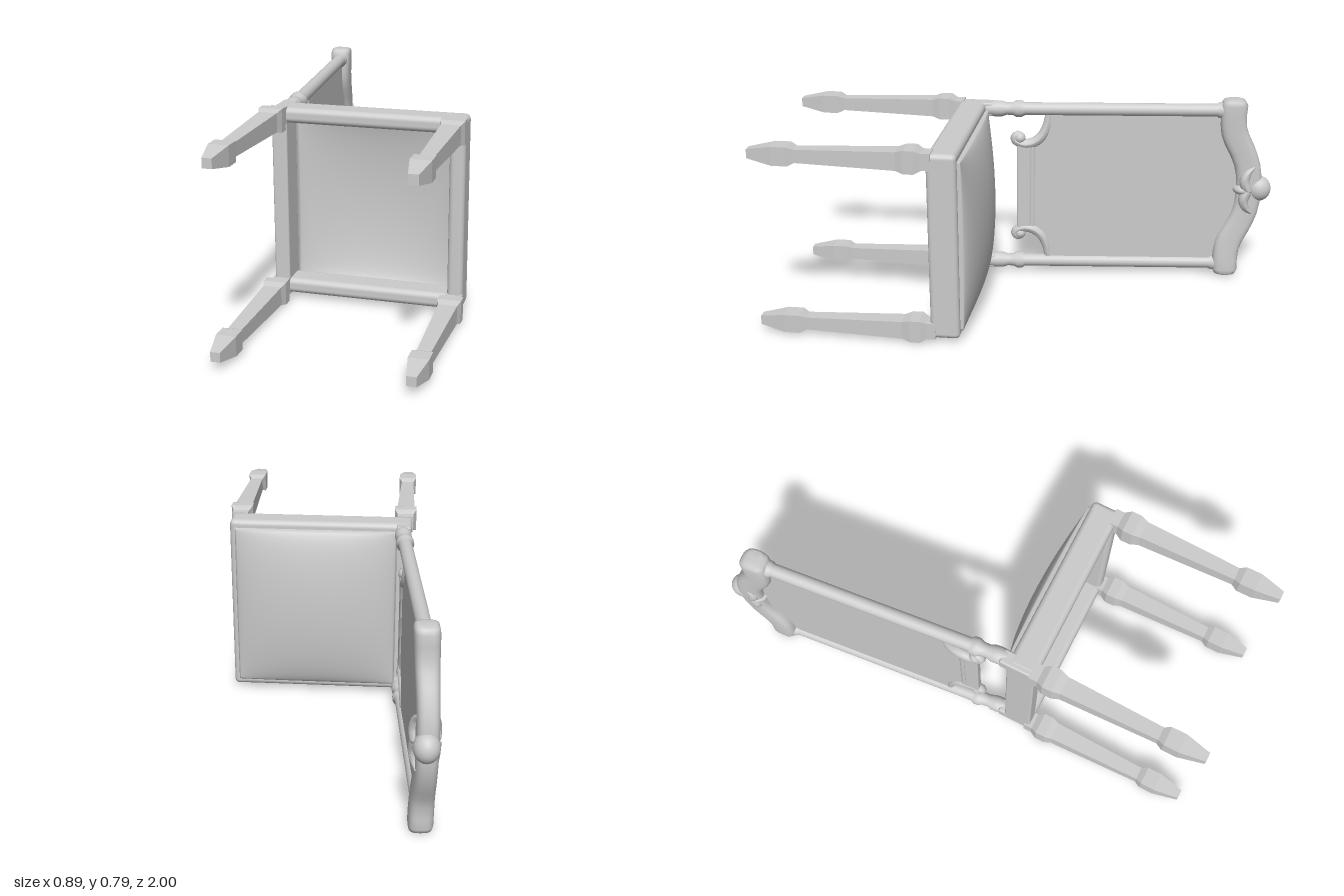
import * as THREE from 'three';
import { RoundedBoxGeometry } from 'three/addons/geometries/RoundedBoxGeometry.js';

const smooth = new THREE.MeshStandardMaterial({ color: 0xcccccc });
const faceted = new THREE.MeshStandardMaterial({ color: 0xcccccc, flatShading: true });
const thin = new THREE.MeshStandardMaterial({ color: 0xcccccc, side: THREE.DoubleSide });

function add(parent, name, geometry, material = smooth, x = 0, y = 0, z = 0) {
  const mesh = new THREE.Mesh(geometry, material);
  mesh.name = name;
  mesh.position.set(x, y, z);
  parent.add(mesh);
  return mesh;
}

const v2 = (pts) => pts.map(([r, y]) => new THREE.Vector2(r, y));

// Square turned leg: half-width against height
function legGeometry() {
  const profile = [[0, -1], [0.018, -1], [0.037, -0.9], [0.037, -0.84], [0.026, -0.815],
    [0.036, -0.43], [0.045, -0.4], [0.045, -0.36], [0.033, -0.335], [0.033, -0.3], [0, -0.3]];
  const pts = v2(profile.map(([r, y]) => [r * Math.SQRT2, y]));
  return new THREE.LatheGeometry(pts, 4, Math.PI / 4);
}

// Tube along a curve whose radius follows a rule
function taperedTube(points, radiusAt, segments = 36, sides = 12) {
  const curve = new THREE.CatmullRomCurve3(points.map((p) => new THREE.Vector3(...p)));
  const geo = new THREE.TubeGeometry(curve, segments, 1, sides);
  const pos = geo.attributes.position;
  const v = new THREE.Vector3();
  for (let i = 0; i < pos.count; i++) {
    const t = Math.floor(i / (sides + 1)) / segments;
    const c = curve.getPointAt(t);
    v.fromBufferAttribute(pos, i).sub(c).multiplyScalar(radiusAt(t)).add(c);
    pos.setXYZ(i, v.x, v.y, v.z);
  }
  geo.computeVertexNormals();
  return geo;
}

// Domed seat pad, open underneath, with a short skirt
function cushionGeometry() {
  const geo = new THREE.PlaneGeometry(2, 2, 28, 28);
  const pos = geo.attributes.position;
  for (let i = 0; i < pos.count; i++) {
    const a = pos.getX(i), b = pos.getY(i);
    const u = Math.sin(a * Math.PI / 2), v = Math.sin(b * Math.PI / 2);
    const edge = Math.max(Math.abs(a), Math.abs(b)) > 0.999;
    const dome = Math.pow(Math.max(0, (1 - u * u) * (1 - v * v)), 0.6);
    pos.setXYZ(i, u * 0.345, edge ? -0.215 : -0.195 + 0.062 * dome, 0.065 - v * 0.335);
  }
  geo.computeVertexNormals();
  return geo;
}

// Arched top rail swept across the width from rounded sections
function crestGeometry() {
  // half-width position, lower edge, upper edge, half-depth
  const half = [[0, 0.853, 0.962, 0.04], [0.06, 0.85, 0.96, 0.04], [0.11, 0.838, 0.952, 0.04],
    [0.16, 0.815, 0.935, 0.041], [0.2, 0.793, 0.917, 0.042], [0.24, 0.778, 0.897, 0.043],
    [0.28, 0.772, 0.883, 0.044], [0.33, 0.77, 0.88, 0.045], [0.37, 0.772, 0.882, 0.045],
    [0.388, 0.782, 0.872, 0.042], [0.394, 0.8, 0.855, 0.033], [0.394, 0.827, 0.828, 0.001]];
  const stations = [...half.slice(1).reverse().map(([x, ...r]) => [-x, ...r]), ...half];
  const n = 24, verts = [], index = [];
  const power = (c) => Math.sign(c) * Math.pow(Math.abs(c), 0.65);
  stations.forEach(([x, lo, hi, d], s) => {
    for (let k = 0; k < n; k++) {
      const a = (k / n) * Math.PI * 2;
      const back = -0.006 * (1 - (x / 0.395) ** 2);
      verts.push(x, (lo + hi) / 2 + power(Math.cos(a)) * (hi - lo) / 2, back + power(Math.sin(a)) * d);
      if (s === 0) continue;
      const p = (s - 1) * n + k, q = (s - 1) * n + (k + 1) % n;
      index.push(p, p + n, q, q, p + n, q + n);
    }
  });
  const geo = new THREE.BufferGeometry();
  geo.setAttribute('position', new THREE.Float32BufferAttribute(verts, 3));
  // Loops run from top towards the front, so the winding is turned outward
  for (let i = 0; i < index.length; i += 3) [index[i + 1], index[i + 2]] = [index[i + 2], index[i + 1]];
  geo.setIndex(index);
  geo.computeVertexNormals();
  return geo;
}

// Back panel with scooped lower corners and an arched top
function panelGeometry() {
  const s = new THREE.Shape();
  s.moveTo(-0.19, -0.03);
  s.lineTo(0.19, -0.03);
  s.quadraticCurveTo(0.21, 0.05, 0.33, 0.065);
  s.lineTo(0.33, 0.79);
  s.lineTo(0.24, 0.79);
  s.bezierCurveTo(0.16, 0.82, 0.12, 0.88, 0, 0.88);
  s.bezierCurveTo(-0.12, 0.88, -0.16, 0.82, -0.24, 0.79);
  s.lineTo(-0.33, 0.79);
  s.lineTo(-0.33, 0.065);
  s.quadraticCurveTo(-0.21, 0.05, -0.19, -0.03);
  const geo = new THREE.ExtrudeGeometry(s, { depth: 0.022, bevelEnabled: false, curveSegments: 16 });
  return geo.translate(0, 0, -0.011);
}

function buildBack() {
  const back = new THREE.Group();
  back.name = 'backrest';
  back.position.z = -0.311;
  back.rotation.x = -0.099;

  add(back, 'backPanel', panelGeometry());
  add(back, 'crestRail', crestGeometry());
  add(back, 'lowerRail', new RoundedBoxGeometry(0.4, 0.06, 0.034, 3, 0.008), smooth, 0, -0.05);
  const bead = new THREE.CylinderGeometry(0.016, 0.016, 0.39, 14).rotateZ(Math.PI / 2);
  add(back, 'lowerRailBead', bead, smooth, 0, -0.015);

  const post = v2([[0.027, -0.21], [0.03, -0.195], [0.034, -0.165], [0.033, -0.14], [0.026, -0.12],
    [0.028, -0.095], [0.036, -0.08], [0.036, -0.06], [0.027, -0.045], [0.027, 0.755],
    [0.033, 0.765], [0.033, 0.785], [0.027, 0.8]]);
  for (const s of [-1, 1]) {
    add(back, 'backPost', new THREE.LatheGeometry(post, 20), smooth, s * 0.345);

    // Scroll bracket between the lower rail and the post
    const path = [[0.222, -0.055], [0.232, -0.078], [0.212, -0.09], [0.192, -0.06], [0.195, -0.015],
      [0.225, 0.025], [0.27, 0.046], [0.325, 0.055]].map(([x, y]) => [s * x, y, 0]);
    add(back, 'scrollBracket', taperedTube(path, (t) => 0.014 + 0.008 * Math.sin(Math.PI * t)));
    add(back, 'scrollEye', new THREE.SphereGeometry(0.024, 16, 12), smooth, s * 0.217, -0.067);

    // Curling leaves beside the crest ornament
    for (const f of [-1, 1]) {
      const z = f * 0.034;
      const leaf = [[0, 0.9, z], [s * 0.04, 0.885, z], [s * 0.075, 0.895, z], [s * 0.105, 0.925, z * 0.9]];
      add(back, 'crestLeaf', taperedTube(leaf, (t) => 0.004 + 0.018 * Math.sin(Math.PI * (0.3 + 0.7 * t)), 20, 10));
    }
  }

  // Shell and drop at the middle of the crest
  add(back, 'crestShell', new THREE.SphereGeometry(1, 24, 16), smooth, 0, 0.951).scale.set(0.055, 0.052, 0.047);
  add(back, 'crestDrop', new THREE.SphereGeometry(1, 20, 14), smooth, 0, 0.885).scale.set(0.026, 0.046, 0.052);
  return back;
}

export function createModel() {
  const model = new THREE.Group();
  model.name = 'chair';

  // Chair built upright, facing local +z, then laid over on its side
  const chair = new THREE.Group();
  chair.name = 'tippedChair';
  model.add(chair);

  // Legs and the blocks joining them to the seat frame
  const leg = legGeometry();
  for (const s of [-1, 1]) {
    add(chair, 'frontLeg', leg, faceted, s * 0.345, 0, 0.39);
    add(chair, 'backLeg', leg, faceted, s * 0.345, 0, -0.3);
    add(chair, 'backLegBlock', new RoundedBoxGeometry(0.058, 0.15, 0.058, 3, 0.008), smooth, s * 0.345, -0.25, -0.297);
    add(chair, 'sideRail', new RoundedBoxGeometry(0.06, 0.115, 0.74, 4, 0.022), smooth, s * 0.345, -0.263, 0.048);
  }

  // Seat frame and pad
  add(chair, 'frontRail', new RoundedBoxGeometry(0.75, 0.115, 0.06, 4, 0.02), smooth, 0, -0.263, 0.392);
  add(chair, 'backRail', new RoundedBoxGeometry(0.73, 0.115, 0.06, 3, 0.008), smooth, 0, -0.263, -0.296);
  add(chair, 'seatCushion', cushionGeometry(), thin);

  chair.add(buildBack());

  const basis = new THREE.Matrix4().makeBasis(
    new THREE.Vector3(0, -1, 0), new THREE.Vector3(0, 0, -1), new THREE.Vector3(1, 0, 0));
  chair.quaternion.setFromRotationMatrix(basis);
  chair.position.y = 0.395;
  return model;
}
